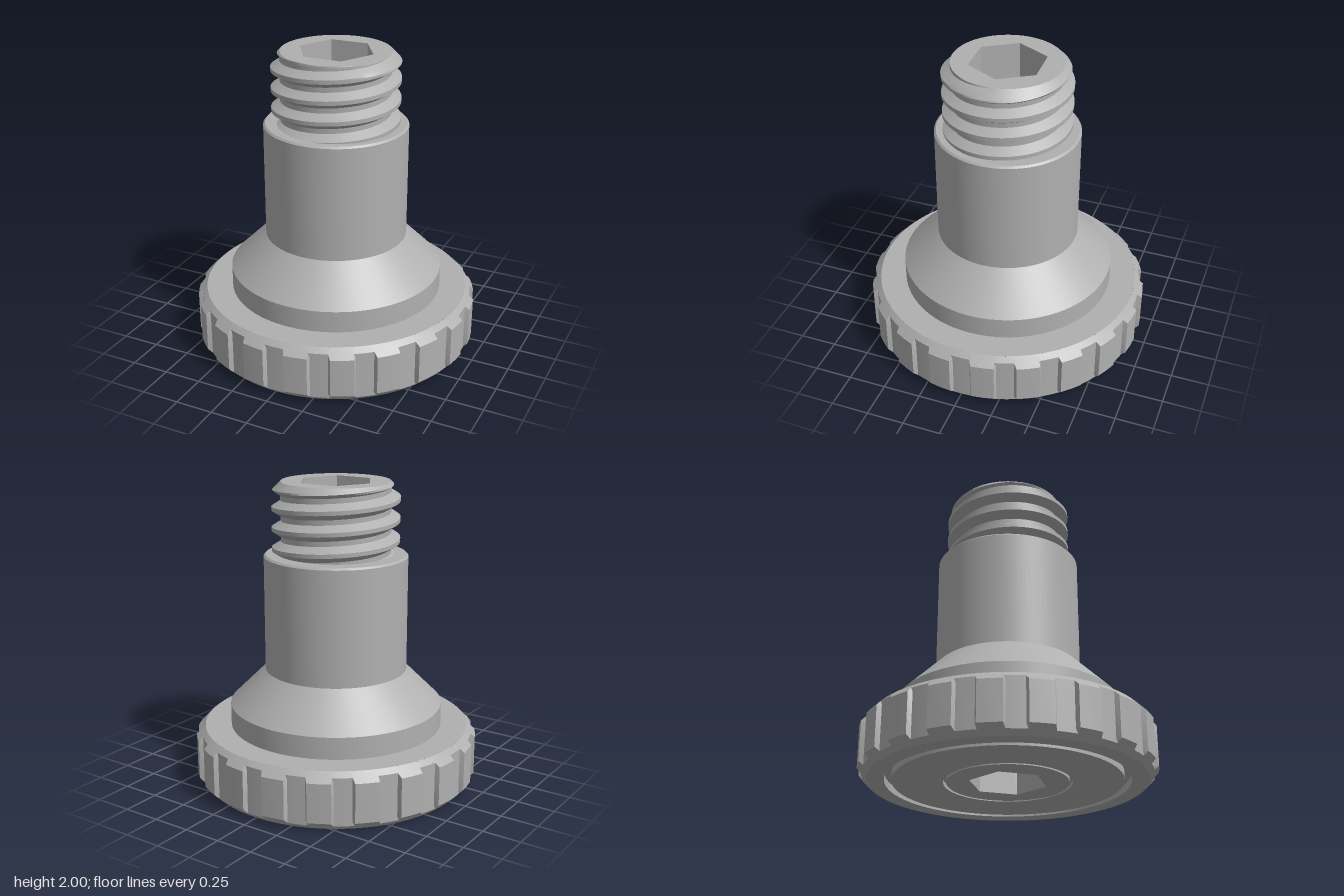
import * as THREE from 'three';
import { toCreasedNormals } from 'three/addons/utils/BufferGeometryUtils.js';

const TAU = Math.PI * 2, DEG = Math.PI / 180;

// Surface wrapped round the y axis: at(i, j) gives [angle, radius, height]
function wrap(cols, rows, at) {
  const pos = [], idx = [];
  for (let i = 0; i <= cols; i++) {
    for (let j = 0; j <= rows; j++) {
      const [a, r, y] = at(i, j);
      pos.push(r * Math.cos(a), y, -r * Math.sin(a));
      if (i < cols && j < rows) {
        const p = i * (rows + 1) + j, q = p + rows + 1;
        idx.push(p, q, p + 1, q, q + 1, p + 1);
      }
    }
  }
  const g = new THREE.BufferGeometry();
  g.setAttribute('position', new THREE.Float32BufferAttribute(pos, 3));
  g.setIndex(idx);
  return g;
}

export function createModel() {
  const group = new THREE.Group();
  const steel = new THREE.MeshStandardMaterial({ color: 0xb0b0b0 });
  steel.name = 'grey metal';
  const add = (name, geometry) => {
    const mesh = new THREE.Mesh(toCreasedNormals(geometry, 0.42), steel);
    mesh.name = name;
    group.add(mesh);
  };
  const lathe = (pts) =>
    new THREE.LatheGeometry(pts.map(([r, y]) => new THREE.Vector2(r, y)), 100);

  // Gripping rim: 20 ridges with sloped flanks, chamfered at both ends
  const teeth = 20, ridge = 0.94, valley = 0.912;
  const tooth = [[-5.4, valley], [-4.6, ridge], [0, ridge], [4.6, ridge], [5.4, valley], [9, valley]];
  const levels = [[0, 0.88], [0.032, 0.912], [0.06, 0.94], [0.32, 0.94], [0.348, 0.912], [0.38, 0.88]];
  add('grip rim', wrap(teeth * tooth.length, levels.length - 1, (i, j) => {
    const [deg, r] = tooth[i % tooth.length];
    const a = (10 + deg + Math.floor(i / tooth.length) * 360 / teeth) * DEG;
    return [a, Math.min(r, levels[j][1]), levels[j][0]];
  }));

  // Underside with two ring grooves
  add('underside', lathe([
    [0.35, 0], [0.385, 0], [0.385, 0.03], [0.405, 0.03], [0.405, 0],
    [0.725, 0], [0.725, 0.05], [0.77, 0.05], [0.77, 0], [0.88, 0],
  ]));

  // Rim top, collar, cone and shank
  add('shank', lathe([
    [0.88, 0.38], [0.706, 0.38], [0.706, 0.525], [0.47, 0.76],
    [0.47, 1.518], [0.458, 1.53], [0.34, 1.53],
  ]));

  // Screw thread, right-handed, chamfered at the top
  const pitch = 0.132, low = 1.525, top = 2, crest = 0.415, root = 0.357;
  const breaks = [-0.1, 0.1, 0.38, 0.62, 0.9], sub = 3, perTurn = 4 * sub;
  const threadRadius = (t) => {
    const d = Math.abs(t - Math.round(t));
    return crest - (crest - root) * THREE.MathUtils.clamp((d - 0.1) / 0.28, 0, 1);
  };
  add('thread', wrap(96, perTurn * 7, (i, j) => {
    const a = i / 96 * TAU;
    const helix = 1.945 + pitch * i / 96;
    const k = Math.floor(j % perTurn / sub), f = (j % sub) / sub;
    const turn = Math.floor(j / perTurn) - 5;
    const t = turn + THREE.MathUtils.lerp(breaks[k], breaks[k + 1], f);
    const y = THREE.MathUtils.clamp(helix + t * pitch, low, top);
    const r = Math.min(threadRadius((y - helix) / pitch), 0.355 + top - y);
    return [a, r, y];
  }));

  // Core with a hexagonal bore running right through
  const section = new THREE.Shape().absarc(0, 0, 0.355, 0, TAU, false);
  const hex = [0, 1, 2, 3, 4, 5].map((i) => {
    const a = 2.5 * DEG - i * TAU / 6;
    return new THREE.Vector2(0.25 * Math.cos(a), 0.25 * Math.sin(a));
  });
  section.holes.push(new THREE.Path(hex));
  const core = new THREE.ExtrudeGeometry(section, { depth: 2, bevelEnabled: false, curveSegments: 96 });
  core.rotateX(-Math.PI / 2);
  add('hex bore core', core);

  return group;
}
